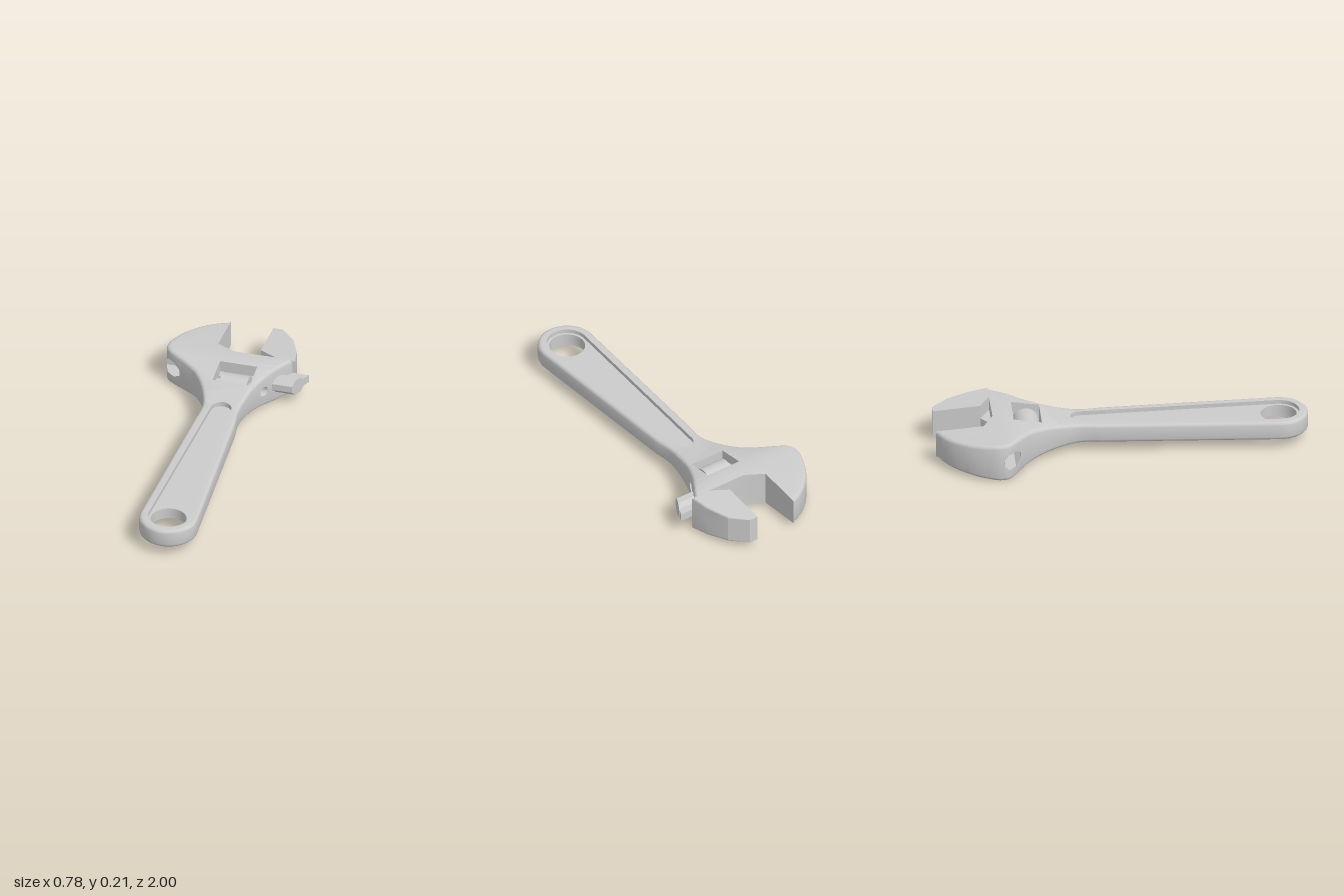
import * as THREE from 'three';
import { toCreasedNormals } from 'three/addons/utils/BufferGeometryUtils.js';

const V2 = (x, z) => new THREE.Vector2(x, -z); // plan point, stored as (x, -z)
const MID = 0.105;                             // height of the plane of symmetry
const CX = 0.03, EYE_Z = 0.843;                // handle axis and hanging hole
const SLIDE_Z = -0.606, SLIDE_R = 0.045;       // slide channel
const WORM_Z = -0.505, PIN_R = 0.027;          // adjusting screw

// Half thickness along z: thin handle, thick head, thinner jaw tips
const STATIONS = [[-1, 0.075], [-0.68, 0.103], [-0.62, 0.105], [-0.58, 0.102],
  [-0.43, 0.079], [-0.33, 0.064], [-0.25, 0.055], [-0.18, 0.052], [1.1, 0.052]];
function thickness(z) {
  let i = 0;
  while (i < STATIONS.length - 2 && z > STATIONS[i + 1][0]) i++;
  const [a, b] = [STATIONS[i], STATIONS[i + 1]];
  return THREE.MathUtils.mapLinear(z, a[0], b[0], a[1], b[1]);
}

// Cut triangles along a plane of constant z
function sliceZ(tris, c) {
  const out = [];
  for (const t of tris) for (const s of [1, -1]) {
    const poly = [];
    t.forEach((a, i) => {
      const b = t[(i + 1) % 3], da = s * (a.z - c), db = s * (b.z - c);
      if (da >= 0) poly.push(a);
      if (da * db < 0) poly.push(a.clone().lerp(b, da / (da - db)));
    });
    for (let i = 2; i < poly.length; i++) out.push([poly[0], poly[i - 1], poly[i]]);
  }
  return out;
}

// Symmetric slab from a plan outline: rounded rim, holes, varying thickness,
// and openings in the side wall given by their half height at each point
function slab(outline, { holes = [], h = thickness, round = () => 0, opening = () => 0, crease = 0.6 } = {}) {
  let tris = [];
  const n = outline.length;
  const inset = outline.map((p, i) => {
    const t = outline[(i + 1) % n].clone().sub(outline[(i + n - 1) % n]).normalize();
    return new THREE.Vector2(-t.y, t.x);
  });
  const at = (i, k) => { // k = 0 on the flat face, 1 on the side wall
    const d = round(i), a = k * Math.PI / 2;
    const p = outline[i].clone().addScaledVector(inset[i], d * (1 - Math.sin(a)));
    return new THREE.Vector3(p.x, h(-p.y) - d * (1 - Math.cos(a)), -p.y);
  };
  const flip = (t) => t.map((p) => new THREE.Vector3(p.x, -p.y, p.z)).reverse();
  const both = (t) => tris.push(t, flip(t));
  const quad = (a, b, c, d) => { both([a, c, b]); both([b, c, d]); };

  // faces
  const rim = outline.map((p, i) => at(i, 0)).map((p) => V2(p.x, p.z));
  const shape = new THREE.Shape(rim);
  shape.holes = holes.map((pts) => new THREE.Path(pts));
  const flat = new THREE.ShapeGeometry(shape).toNonIndexed().attributes.position;
  let cap = [];
  for (let i = 0; i < flat.count; i += 3)
    cap.push([0, 1, 2].map((k) => new THREE.Vector3(flat.getX(i + k), 0, -flat.getY(i + k))));
  for (const [z] of STATIONS) cap = sliceZ(cap, z);
  for (const t of cap) both(t.map((p) => new THREE.Vector3(p.x, h(p.z), p.z)));

  // rim and side wall
  for (let i = 0; i < n; i++) {
    const j = (i + 1) % n;
    for (let k = 0; k < 3; k++) quad(at(i, k / 3), at(j, k / 3), at(i, (k + 1) / 3), at(j, (k + 1) / 3));
    const [a, b] = [at(i, 1), at(j, 1)];
    quad(a, b, a.clone().setY(opening(outline[i])), b.clone().setY(opening(outline[j])));
  }
  // hole walls
  for (const pts of holes) {
    const ring = THREE.ShapeUtils.isClockWise(pts) ? pts : [...pts].reverse();
    ring.forEach((p, i) => {
      const q = ring[(i + 1) % ring.length];
      const [a, b] = [p, q].map((v) => new THREE.Vector3(v.x, h(-v.y), -v.y));
      quad(a, b, a.clone().setY(0), b.clone().setY(0));
    });
  }
  tris = tris.filter((t) => new THREE.Triangle(...t).getArea() > 1e-10);
  const geo = new THREE.BufferGeometry().setFromPoints(tris.flat());
  return toCreasedNormals(geo, crease);
}

// Arc in plan; angle 0 points to +x, PI/2 to the back
function arc(x, z, r, from, to, steps) {
  return Array.from({ length: steps + 1 }, (_, i) => {
    const a = from + (to - from) * i / steps;
    return V2(x + r * Math.cos(a), z - r * Math.sin(a));
  });
}

const rod = (r, x0, x1, sides, open = false) => new THREE.CylinderGeometry(r, r, x1 - x0, sides, 1, open)
  .rotateY(Math.PI / sides).rotateZ(Math.PI / 2).translate((x0 + x1) / 2, 0, 0);

export function createModel() {
  const model = new THREE.Group();
  const material = new THREE.MeshStandardMaterial({ color: 0xcccccc });
  const inner = new THREE.MeshStandardMaterial({ color: 0xcccccc, side: THREE.DoubleSide });
  const add = (name, geo, z = 0, mat = material) => {
    const mesh = new THREE.Mesh(geo, mat);
    mesh.name = name;
    mesh.position.set(0, MID, z);
    model.add(mesh);
  };

  // Body: fixed jaw and left flank, handle end, right flank, jaw floor
  const left = new THREE.SplineCurve([[-0.13, -1], [-0.2, -0.967], [-0.27, -0.912], [-0.335, -0.83],
    [-0.375, -0.745], [-0.39, -0.67], [-0.365, -0.612], [-0.265, -0.54], [-0.185, -0.474], [-0.12, -0.37],
    [-0.078, -0.238], [-0.083, -0.106]].map((p) => V2(...p))).getSpacedPoints(150);
  const right = new THREE.SplineCurve([[0.138, -0.106], [0.125, -0.238], [0.148, -0.397], [0.185, -0.5],
    [0.235, -0.592], [0.295, -0.69]].map((p) => V2(...p))).getSpacedPoints(90);
  const outline = [...left, ...arc(CX, EYE_Z, 0.157, Math.PI, Math.PI * 2, 32), ...right,
    V2(-0.025, -0.69), V2(-0.13, -0.745)];
  const lastRight = outline.length - 3;

  const octR = SLIDE_R + 0.001, octHalf = octR * Math.tan(Math.PI / 8);
  const opening = (p) => {
    const dz = Math.abs(-p.y - SLIDE_Z), dp = Math.abs(-p.y - WORM_Z);
    if (p.x < -0.2 && dz < octR) return Math.min(octR, octR - dz + octHalf);
    if (p.x > 0.15 && dp < PIN_R) return Math.sqrt(PIN_R ** 2 - dp ** 2);
    return 0;
  };
  const recess = [...arc(CX, -0.214, 0.056, 0, Math.PI, 20), ...arc(CX, EYE_Z, 0.11, Math.PI, Math.PI * 2, 28)];
  const windowHole = [V2(-0.075, -0.43), V2(0.13, -0.43), V2(0.13, -0.58), V2(-0.075, -0.58)];
  add('body', slab(outline, {
    holes: [recess, windowHole], opening,
    round: (i) => (i === 0 || i >= lastRight ? 0 : 0.018),
  }));

  // Sunken handle panel with the hanging hole
  add('handlePanel', slab(recess, { holes: [arc(CX, EYE_Z, 0.096, 0, Math.PI * 2, 40).slice(0, -1)], h: () => 0.03 }));

  // Bores that end flush with the flanks
  const bore = (geo, flank, z0, side) => {
    const p = geo.attributes.position;
    for (let i = 0; i < p.count; i++) {
      if (side * p.getX(i) < 0.16) continue;
      const v = -(p.getZ(i) + z0);
      p.setX(i, flank.reduce((a, b) => (Math.abs(b.y - v) < Math.abs(a.y - v) ? b : a)).x);
    }
    return toCreasedNormals(geo, 0.6);
  };
  add('slideBore', bore(rod(octR / Math.cos(Math.PI / 8), -0.3, -0.1, 8, true), left, SLIDE_Z, -1), SLIDE_Z, inner);
  add('pinBore', bore(rod(PIN_R, 0.13, 0.2, 24, true), right, WORM_Z, 1), WORM_Z, inner);

  // Adjusting screw
  add('adjustingScrew', rod(0.073, -0.045, 0.105, 48), WORM_Z);
  add('screwPin', rod(0.037, -0.076, 0.131, 24), WORM_Z);

  // Moving jaw with faceted back
  const jaw = [[0.205, -0.69], [0.312, -0.69], [0.29, -0.795], [0.24, -0.915], [0.155, -1],
    [0.105, -1], [0.105, -0.745]].map((p) => V2(...p));
  add('movingJaw', slab(jaw, { round: (i) => (i > 0 && i < 4 ? 0.012 : 0), crease: 0.2 }));

  // Web joining jaw and slide
  const web = [[-0.02, -0.61], [0.348, -0.61], [0.385, -0.69], [0.25, -0.69], [0.2, -0.72],
    [0.105, -0.745], [0.04, -0.69]].map((p) => V2(...p));
  add('jawWeb', slab(web, { h: () => 0.022, crease: 0.2 }));

  // Octagonal slide with a slanted outer end
  const slide = rod(SLIDE_R / Math.cos(Math.PI / 8), -0.1, 0.35, 8);
  const sp = slide.attributes.position;
  for (let i = 0; i < sp.count; i++) if (sp.getX(i) > 0) sp.setX(i, 0.348 - 0.46 * sp.getZ(i));
  add('jawSlide', toCreasedNormals(slide, 0.2), SLIDE_Z);

  return model;
}
